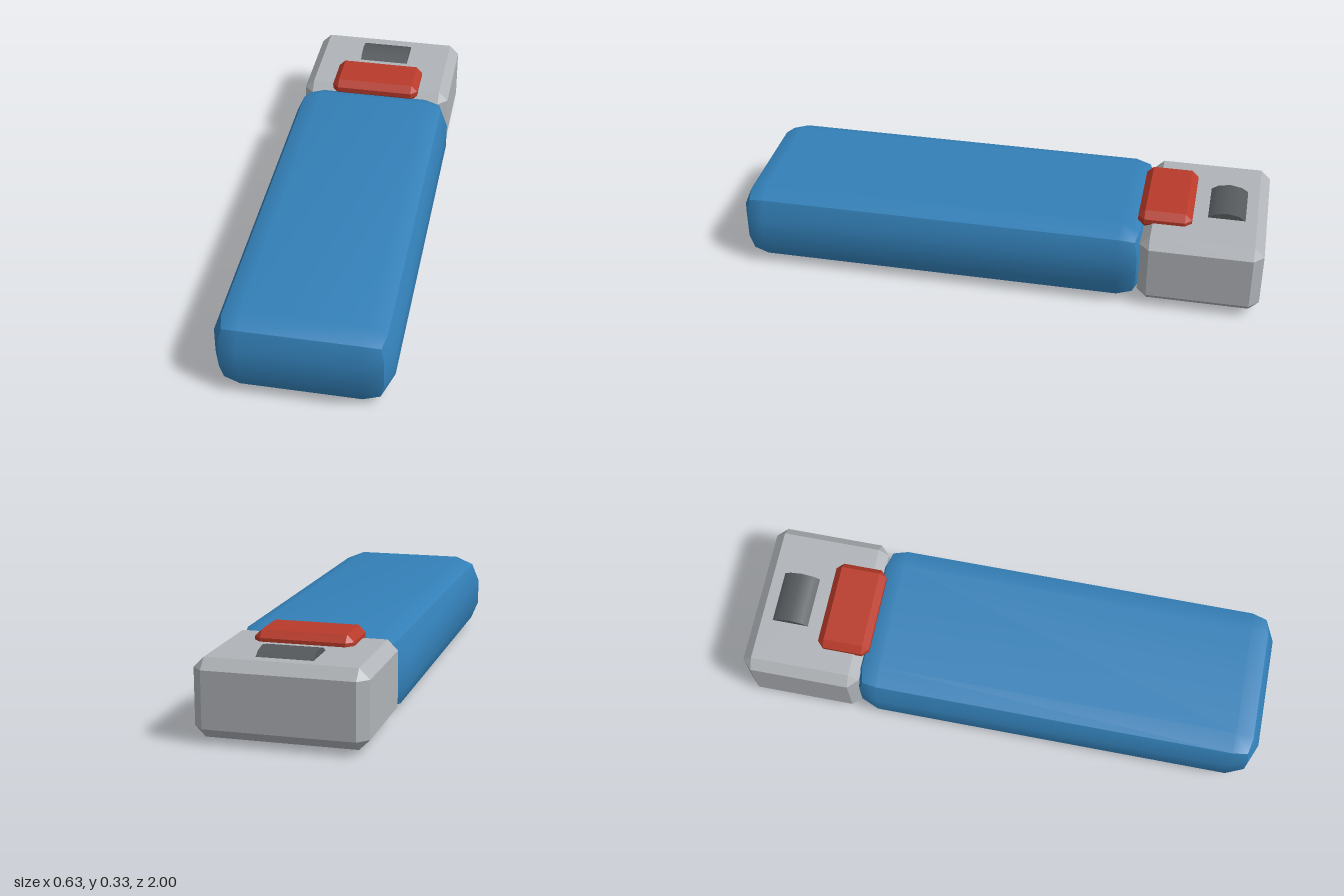
import * as THREE from 'three';
import { ConvexGeometry } from 'three/addons/geometries/ConvexGeometry.js';

// Box with flat chamfers on every edge and small triangles at the corners
function chamferBox(w, h, d, c) {
  const points = [];
  for (const x of [-1, 1]) for (const y of [-1, 1]) for (const z of [-1, 1]) {
    for (let axis = 0; axis < 3; axis++) {
      const inset = [c, c, c];
      inset[axis] = 0;
      points.push(new THREE.Vector3(
        x * (w / 2 - inset[0]), y * (h / 2 - inset[1]), z * (d / 2 - inset[2])));
    }
  }
  return new ConvexGeometry(points);
}

// Box with 3 x 3 panels per side: edges and corners are pulled in so each side bulges
function pillowBox(half, inner, edgeInset, cornerInset) {
  const geometry = new THREE.BoxGeometry(2, 2, 2, 3, 3, 3);
  const pos = geometry.attributes.position;
  for (let i = 0; i < pos.count; i++) {
    const p = [pos.getX(i), pos.getY(i), pos.getZ(i)];
    const outer = p.filter((v) => Math.abs(v) > 0.9).length;
    const inset = [0, 0, edgeInset, cornerInset][outer];
    const q = p.map((v, k) => Math.sign(v) * (Math.abs(v) > 0.9 ? half[k] - inset : inner[k]));
    pos.setXYZ(i, q[0], q[1], q[2]);
  }
  geometry.computeVertexNormals(); // smooth within each side, sharp between sides
  return geometry;
}

export function createModel() {
  const group = new THREE.Group();
  const material = (name, color) => {
    const m = new THREE.MeshStandardMaterial({ color });
    m.name = name;
    return m;
  };
  const blue = material('blue plastic', 0x3380b8);
  const silver = material('silver metal', 0xb0b4b8);
  const red = material('red plastic', 0xb83a2a);
  const dark = material('dark steel', 0x55595c);

  const add = (name, geometry, mat, x, y, z) => {
    const mesh = new THREE.Mesh(geometry, mat);
    mesh.name = name;
    mesh.position.set(x, y, z);
    group.add(mesh);
    return mesh;
  };

  // Fuel body, its rear end tucked into the hood
  add('body', pillowBox([0.317, 0.1525, 0.785], [0.215, 0.051, 0.685], 0.03, 0.042),
    blue, 0, 0.1525, 0.215);
  // Metal hood
  add('hood', chamferBox(0.606, 0.277, 0.455, 0.037), silver, 0, 0.1535, -0.7725);
  // Press button
  add('button', chamferBox(0.356, 0.07, 0.2, 0.025), red, 0, 0.295, -0.625);
  // Spark wheel, only its top showing through the hood
  const wheel = new THREE.CylinderGeometry(0.12, 0.12, 0.2, 16);
  wheel.rotateZ(Math.PI / 2);
  add('sparkWheel', wheel, dark, 0, 0.197, -0.85);

  return group;
}
